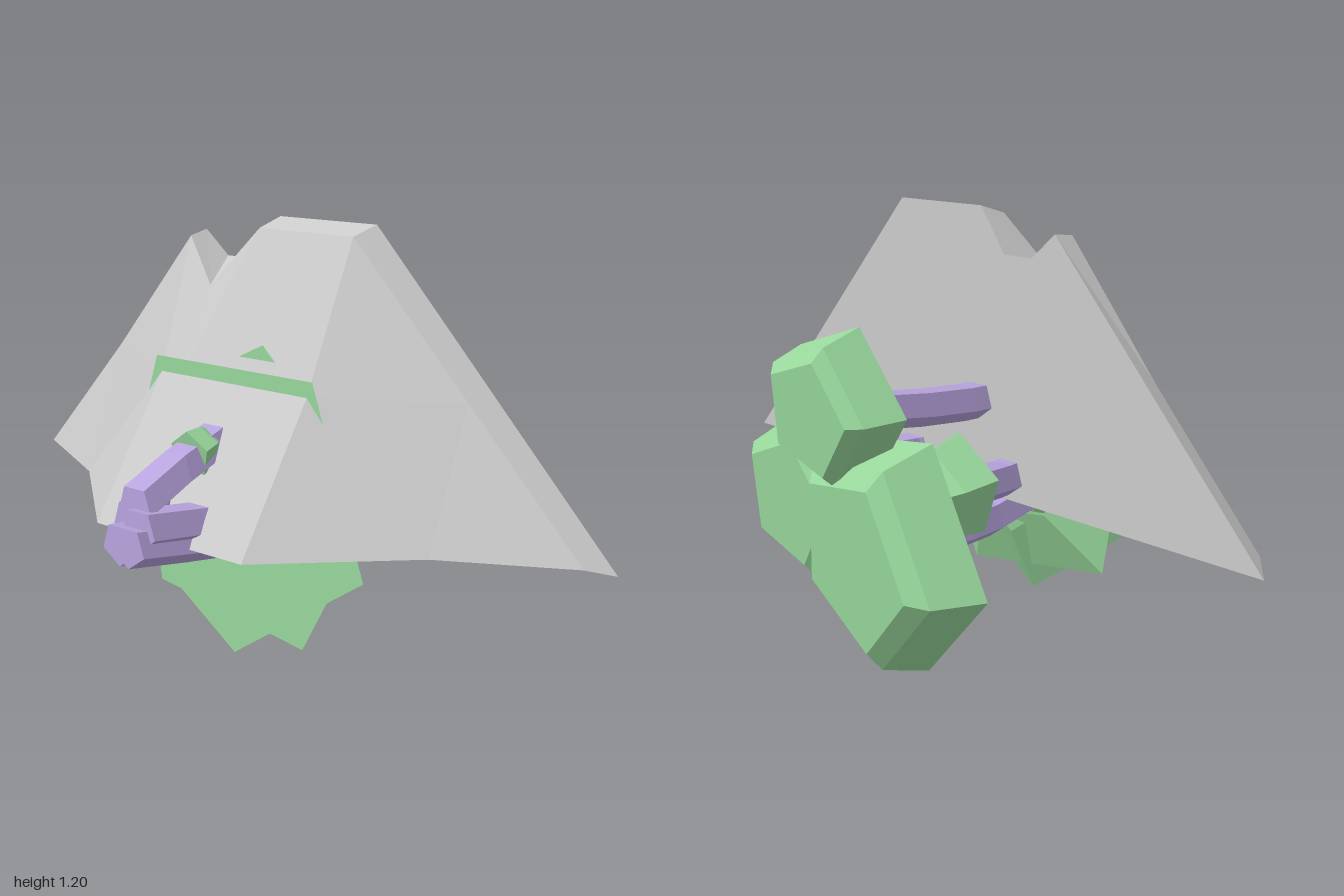
import * as THREE from 'three';

const mat = (color) => new THREE.MeshStandardMaterial({ color, flatShading: true });

function mesh(name, geometry, material) {
  const g = geometry.index ? geometry.toNonIndexed() : geometry;
  g.computeVertexNormals();
  const m = new THREE.Mesh(g, material);
  m.name = name;
  return m;
}

// Rock slab: columns run from right to left round the front, each listed base to crest
function rockGeometry() {
  const back = -0.03;
  const columns = [
    [[1, 0.385, back], [0.644, 0.78, back], [0.27, 1.195, back], [0.27, 1.195, back]],
    [[0.94, 0.41, 0.04], [0.604, 0.78, 0.045], [0.25, 1.17, 0.05], [0.27, 1.195, back]],
    [[0.6, 0.41, 0.21], [0.25, 0.78, 0.25], [0.25, 1.17, 0.05], [0.27, 1.195, back]],
    [[0.25, 0.41, 0.52], [0.25, 0.78, 0.25], [0.25, 1.17, 0.05], [0.27, 1.195, back]],
    [[-0.06, 0.41, 0.52], [-0.06, 0.78, 0.25], [-0.06, 1.17, 0.05], [-0.05, 1.195, back]],
    [[-0.18, 0.41, 0.52], [-0.18, 0.78, 0.25], [-0.18, 1.01, 0.12], [-0.14, 1.07, back]],
    [[-0.18, 0.41, 0.52], [-0.18, 0.78, 0.25], [-0.18, 1.01, 0.12], [-0.24, 1.07, back]],
    [[-0.25, 0.41, 0.52], [-0.25, 0.78, 0.25], [-0.31, 1.13, 0.05], [-0.32, 1.14, back]],
    [[-0.6, 0.41, 0.21], [-0.25, 0.78, 0.25], [-0.31, 1.13, 0.05], [-0.32, 1.14, back]],
    [[-0.94, 0.41, 0.04], [-0.604, 0.78, 0.045], [-0.31, 1.13, 0.05], [-0.32, 1.14, back]],
    [[-1, 0.385, back], [-0.644, 0.78, back], [-0.32, 1.14, back], [-0.32, 1.14, back]],
  ];
  const pos = [];
  const tri = (a, b, c) => pos.push(...a, ...b, ...c);
  for (let j = 0; j < columns.length - 1; j++) {
    for (let i = 0; i < 3; i++) {
      const r = columns[j], l = columns[j + 1];
      // the diagonal is mirrored on the right-hand half
      if (j < 5) {
        tri(l[i], r[i], r[i + 1]);
        tri(l[i], r[i + 1], l[i + 1]);
      } else {
        tri(l[i], r[i], l[i + 1]);
        tri(r[i], r[i + 1], l[i + 1]);
      }
    }
  }
  // underside and flat back, each a fan
  const fan = (centre, loop, flip) => loop.forEach((p, k) => {
    const q = loop[(k + 1) % loop.length];
    if (flip) tri(centre, q, p); else tri(centre, p, q);
  });
  fan([0, 0.405, 0.1], columns.map((c) => c[0]), false);
  fan([0, 0.7, back], [columns[0][0], ...[0, 4, 5, 6, 7].map((k) => columns[k][3]), columns[10][0]], true);
  const g = new THREE.BufferGeometry();
  g.setAttribute('position', new THREE.Float32BufferAttribute(pos, 3));
  return g;
}

// Five-sided crown: profile of [radius, depth] spun round an axis that points along dir
function crown(name, centre, dir, profile, turn, material) {
  const pts = [[0, 0], ...profile].map(([r, d]) => new THREE.Vector2(r, d));
  const g = new THREE.LatheGeometry(pts, 5, THREE.MathUtils.degToRad(turn));
  const m = mesh(name, g, material);
  m.quaternion.setFromUnitVectors(new THREE.Vector3(0, 1, 0), new THREE.Vector3(...dir).normalize());
  m.position.set(...centre);
  return m;
}

const bevelled = (r, d) => [[r, 0], [r * 0.86, d * 0.78], [r * 0.7, d], [0, d]];

// Trunk: five-sided column bent along a path that runs from the crown to the root
function trunk(name, path, radius, material) {
  const curve = new THREE.CatmullRomCurve3(path.map((p) => new THREE.Vector3(...p)));
  const g = new THREE.CylinderGeometry(radius * 1.1, radius, 1, 5, 7).rotateX(Math.PI / 2);
  const p = g.attributes.position;
  for (let i = 0; i < p.count; i++) {
    const c = curve.getPoint(THREE.MathUtils.clamp(p.getZ(i) + 0.5, 0, 1));
    p.setXYZ(i, c.x + p.getX(i), c.y + p.getY(i), c.z);
  }
  return mesh(name, g, material);
}

export function createModel() {
  const model = new THREE.Group();
  const stone = mat(0xcccccc), leaf = mat(0x98d89c), bark = mat(0xb8a4de);

  model.add(mesh('rock', rockGeometry(), stone));

  // Trunks gather into a root bundle at the front
  const trunks = {
    upperTrunk: [[-0.07, 0.72, -0.55], [-0.06, 0.68, -0.3], [-0.04, 0.65, 0], [0, 0.63, 0.36], [-0.02, 0.53, 0.61]],
    lowerTrunk: [[-0.2, 0.38, -0.48], [-0.17, 0.35, -0.25], [-0.12, 0.34, 0], [-0.05, 0.39, 0.35], [-0.03, 0.44, 0.66]],
    leftTrunk: [[0.2, 0.47, -0.35], [0.22, 0.46, -0.15], [0.22, 0.45, 0], [0.08, 0.45, 0.35], [0.01, 0.48, 0.63]],
    innerTrunk: [[0.19, 0.4, -0.35], [0.13, 0.35, -0.15], [0.09, 0.34, 0], [0.06, 0.39, 0.35], [0, 0.44, 0.66]],
    rightTrunk: [[-0.28, 0.52, -0.33], [-0.22, 0.48, -0.2], [-0.15, 0.45, 0], [-0.1, 0.46, 0.35], [-0.05, 0.48, 0.6]],
  };
  for (const [name, path] of Object.entries(trunks)) model.add(trunk(name, path, 0.053, bark));

  // Bevelled crowns behind the rock
  model.add(
    crown('upperCrown', [-0.08, 0.735, -0.525], [0, -0.08, -1], bevelled(0.22, 0.14), 270, leaf),
    crown('lowerCrown', [-0.22, 0.38, -0.46], [0.14, -0.07, -1], bevelled(0.34, 0.17), 182, leaf),
    crown('leftCrown', [0.22, 0.41, -0.37], [0.06, -0.06, -1], bevelled(0.265, 0.14), 270, leaf),
    crown('leftCrownLowerTier', [0.19, 0.42, -0.27], [0.1, -0.04, -1], [[0.23, 0], [0.25, 0.11], [0, 0.13]], 90, leaf),
    crown('rightCrown', [-0.26, 0.52, -0.31], [-0.05, -0.08, -1], bevelled(0.14, 0.13), 0, leaf),
  );

  // Tiered crown embedded in the rock, its rim showing at the front
  model.add(
    crown('frontCrownTier', [0, 0.455, 0.25], [0, 0, -1], [[0.455, 0], [0.25, 0.1], [0, 0.14]], 180, leaf),
    crown('rearCrownTier', [0.01, 0.45, 0.215], [0, 0, -1], [[0.445, 0], [0.22, 0.08], [0, 0.11]], 9, leaf),
  );

  // Small leaf tufts on the trunks
  const tufts = [[0, 0.625, 0.42, 0.065], [-0.11, 0.35, 0.155, 0.065], [0.12, 0.41, 0.43, 0.05], [-0.06, 0.4, 0.45, 0.05]];
  for (const [x, y, z, r] of tufts) {
    model.add(crown('leafTuft', [x, y, z], [0, 0.2, -1], bevelled(r, 0.07), 0, leaf));
  }
  return model;
}
